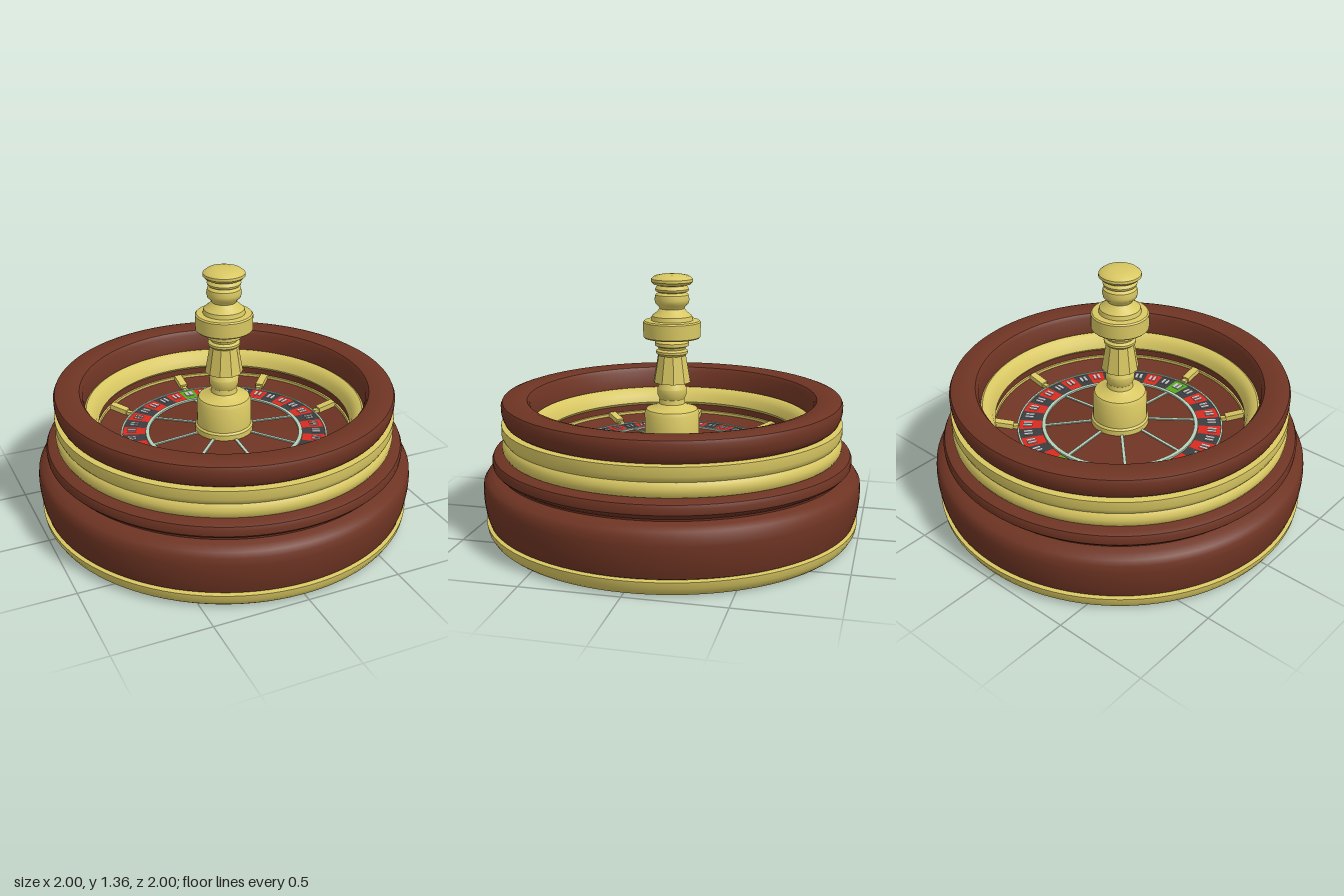
import * as THREE from 'three';
import { toCreasedNormals } from 'three/addons/utils/BufferGeometryUtils.js';

export function createModel() {
  const root = new THREE.Group();
  root.name = 'rouletteWheel';

  const material = (name, color) => {
    const m = new THREE.MeshStandardMaterial({ color });
    m.name = name;
    return m;
  };
  const wood = material('wood', 0x6e3423);
  const gold = material('gold', 0xd8c762);
  const red = material('red', 0xd92a20);
  const black = material('black', 0x3c3d40);
  const green = material('green', 0x55a81c);
  const pale = material('paleTrim', 0xb4cfb8);
  const grey = material('greyMarks', 0xc4c4c4);

  const add = (name, geometry, mat, parent = root) => {
    const mesh = new THREE.Mesh(geometry, mat);
    mesh.name = name;
    parent.add(mesh);
    return mesh;
  };
  // Turned part from [radius, height] pairs, with sharp edges kept
  const turned = (name, profile, mat, segments = 96) => {
    const points = profile.map(([r, y]) => new THREE.Vector2(r, y));
    return add(name, toCreasedNormals(new THREE.LatheGeometry(points, segments), 0.6), mat);
  };
  // Flat ring lying face up
  const flatRing = (name, inner, outer, y, mat, start = 0, sweep = Math.PI * 2, steps = 96) => {
    const g = new THREE.RingGeometry(inner, outer, steps, 1, start, sweep);
    g.rotateX(-Math.PI / 2);
    g.translate(0, y, 0);
    return add(name, g, mat);
  };

  // Underside
  turned('underside', [[0, 0.03], [0.84, 0.02]], wood);
  turned('footRing', [[0.28, 0.03], [0.3, 0.01], [0.34, 0], [0.39, 0], [0.42, 0.012], [0.43, 0.03]], gold);

  // Outer casing, from the floor up and over the rim
  turned('baseBand', [[0.83, 0.025], [0.84, 0], [0.95, 0], [0.968, 0.015], [0.985, 0.045], [0.99, 0.076], [0.965, 0.08]], gold);
  turned('lowerCasing', [
    [0.96, 0.078], [0.974, 0.085], [0.988, 0.13], [0.998, 0.2], [1, 0.25], [0.996, 0.29], [0.98, 0.315],
    [0.945, 0.332], [0.91, 0.34], [0.912, 0.35], [0.935, 0.365], [0.948, 0.38], [0.95, 0.41],
    [0.942, 0.428], [0.92, 0.437], [0.87, 0.44],
  ], wood);
  turned('doubleGoldBand', [
    [0.86, 0.438], [0.885, 0.442], [0.896, 0.46], [0.898, 0.485], [0.89, 0.505], [0.882, 0.515],
    [0.89, 0.526], [0.898, 0.545], [0.897, 0.592], [0.86, 0.596],
  ], gold);
  turned('rim', [
    [0.86, 0.594], [0.876, 0.605], [0.888, 0.63], [0.895, 0.66], [0.896, 0.695], [0.888, 0.712],
    [0.865, 0.72], [0.79, 0.72], [0.76, 0.712], [0.745, 0.69], [0.74, 0.59],
  ], wood);

  // Bowl inside the rim
  turned('innerGoldRing', [[0.743, 0.59], [0.73, 0.598], [0.705, 0.59], [0.68, 0.56], [0.667, 0.52], [0.68, 0.505]], gold);
  turned('bowlWall', [[0.68, 0.506], [0.68, 0.462]], wood);
  turned('bowlTrim', [[0.68, 0.47], [0.672, 0.468], [0.672, 0.45]], gold);
  turned('ballTrack', [[0.68, 0.455], [0.55, 0.425]], wood);
  turned('centreDisc', [[0.425, 0.432], [0.13, 0.455], [0, 0.46]], wood);

  // Gold deflectors around the track
  for (let i = 0; i < 8; i++) {
    const pivot = new THREE.Group();
    pivot.name = 'deflector';
    pivot.rotation.y = (i * Math.PI) / 4;
    root.add(pivot);
    const block = add('deflectorBlock', new THREE.BoxGeometry(0.1, 0.035, 0.042), gold, pivot);
    block.position.set(0.625, 0.452, 0);
    block.rotation.z = 0.22;
    const tip = add('deflectorTip', new THREE.BoxGeometry(0.04, 0.025, 0.026), gold, pivot);
    tip.position.set(0.567, 0.435, 0);
    // Pale spoke across the centre disc
    const spoke = add('spoke', new THREE.BoxGeometry(0.28, 0.008, 0.016), pale, pivot);
    spoke.position.set(0.275, 0.446, 0);
    spoke.rotation.z = -0.078;
  }

  // Coloured pockets, two green and the rest alternating
  const count = 38, step = (Math.PI * 2) / count;
  for (let i = 0; i < count; i++) {
    const angle = Math.PI / 2 - i * step;
    const half = i % 19;
    // colours mirror left to right about the greens
    const fromBack = Math.min(i, count - i);
    const mat = half === 0 ? green : fromBack % 2 ? red : black;
    flatRing('pocket', 0.42, 0.546, 0.432, mat, angle - step / 2, step, 4);

    // Small tally marks on each pocket
    const marks = new THREE.Group();
    marks.name = 'pocketMarks';
    marks.rotation.y = angle;
    root.add(marks);
    for (const side of [-1, 1]) {
      const bar = add('mark', new THREE.BoxGeometry(0.046, 0.004, half === 0 ? 0.02 : 0.014), grey, marks);
      bar.position.set(0.498, 0.434, side * 0.012);
    }
  }
  turned('pocketOuterTrim', [[0.555, 0.425], [0.555, 0.438], [0.545, 0.438], [0.545, 0.43]], pale);
  turned('pocketInnerTrim', [[0.422, 0.43], [0.422, 0.442], [0.402, 0.443], [0.402, 0.43]], pale);

  // Central turret
  turned('turretBase', [
    [0.155, 0.45], [0.155, 0.482], [0.145, 0.492], [0.145, 0.625], [0.135, 0.645], [0.09, 0.66],
    [0.07, 0.675], [0.066, 0.7], [0.076, 0.72], [0.078, 0.755], [0.066, 0.775], [0.06, 0.79],
  ], gold, 40);
  const bell = new THREE.CylinderGeometry(0.074, 0.1, 0.15, 10).toNonIndexed();
  bell.computeVertexNormals();
  add('turretBell', bell, gold).position.y = 0.865;
  turned('turretUpper', [
    [0.07, 0.93], [0.084, 0.944], [0.084, 0.956], [0.07, 0.966], [0.074, 0.978], [0.09, 0.985],
    [0.09, 1.002], [0.076, 1.014], [0.076, 1.025], [0.143, 1.025], [0.15, 1.032], [0.15, 1.108],
    [0.143, 1.115], [0.11, 1.118], [0.105, 1.14], [0.08, 1.16], [0.064, 1.178], [0.07, 1.19],
    [0.086, 1.205], [0.091, 1.225], [0.086, 1.25], [0.07, 1.262], [0.084, 1.268], [0.088, 1.28],
    [0.08, 1.292], [0.074, 1.298], [0.096, 1.304], [0.109, 1.318], [0.108, 1.332], [0.09, 1.347],
    [0.05, 1.355], [0, 1.357],
  ], gold, 40);

  return root;
}
